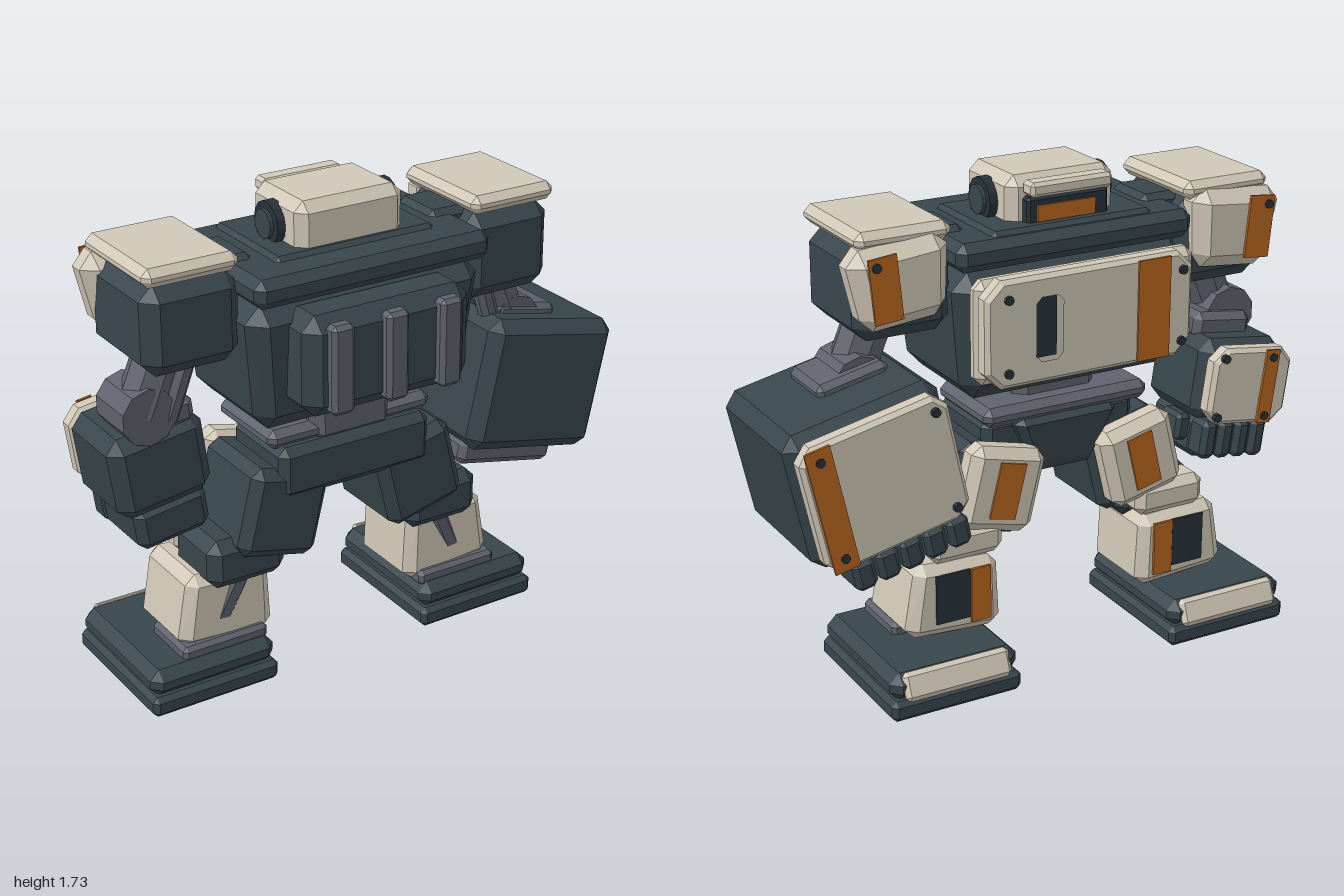
import * as THREE from 'three';
import { ConvexGeometry } from 'three/addons/geometries/ConvexGeometry.js';

const mat = (name, color) => Object.assign(new THREE.MeshStandardMaterial({ color, flatShading: true }), { name });
const CX = -0.122; // body centre line; the oversized left arm widens the +x side

export function createModel() {
  const dark = mat('dark slate armour', 0x38464c);
  const cream = mat('cream armour', 0xd0c7b6);
  const grey = mat('joint grey', 0x5f626d);
  const orange = mat('orange marking', 0xb9661f);
  const black = mat('dark fittings', 0x27323a);
  const root = new THREE.Group();
  root.name = 'walkerRobot';

  const group = (name, x = 0, y = 0, z = 0, rz = 0, parent = root) => {
    const g = new THREE.Group();
    g.name = name;
    g.position.set(x, y, z);
    g.rotation.z = rz;
    parent.add(g);
    return g;
  };
  const add = (parent, name, geo, material, x, y, z) => {
    const m = new THREE.Mesh(geo, material);
    m.name = name;
    m.position.set(x, y, z);
    parent.add(m);
    return m;
  };
  // box with every edge chamfered by c; bottom scaled by tx, tz
  const block = (parent, name, material, [w, h, d], [x, y, z], c = 0.03, tx = 1, tz = 1) => {
    const pts = [];
    for (const i of [-1, 1]) for (const j of [-1, 1]) for (const k of [-1, 1]) {
      for (const [a, b, e] of [[0, c, c], [c, 0, c], [c, c, 0]]) {
        const sx = j < 0 ? tx : 1, sz = j < 0 ? tz : 1;
        pts.push(new THREE.Vector3(i * (w / 2 - a) * sx, j * (h / 2 - b), k * (d / 2 - e) * sz));
      }
    }
    return add(parent, name, new ConvexGeometry(pts), material, x, y, z);
  };
  // thin painted panel facing -z
  const panel = (parent, name, material, w, h, x, y, z) =>
    add(parent, name, new THREE.BoxGeometry(w, h, 0.009), material, x, y, z);
  const bolt = (parent, x, y, z) => {
    const g = new THREE.CylinderGeometry(0.016, 0.016, 0.018, 8).rotateX(Math.PI / 2);
    add(parent, 'bolt', g, black, x, y, z);
  };
  // cylinder between two points
  const rod = (parent, name, material, a, b, r, sides = 10) => {
    const p = new THREE.Vector3(...a), q = new THREE.Vector3(...b), v = q.clone().sub(p);
    const m = add(parent, name, new THREE.CylinderGeometry(r, r, v.length(), sides), material, 0, 0, 0);
    m.position.copy(p.add(q).multiplyScalar(0.5));
    m.quaternion.setFromUnitVectors(new THREE.Vector3(0, 1, 0), v.normalize());
  };
  const octagon = (Type, w, h, c) => {
    const s = new Type(), p = [[-1, 1, 0, c], [-1, 1, c, 0], [1, 1, c, 0], [1, 1, 0, c],
      [1, -1, 0, c], [1, -1, c, 0], [-1, -1, c, 0], [-1, -1, 0, c]];
    s.setFromPoints(p.map(([i, j, a, b]) => new THREE.Vector2(i * (w / 2 - a), j * (h / 2 - b))));
    s.closePath();
    return s;
  };
  // armour plate with cut corners, front face at z
  const plate = (parent, name, material, w, h, t, [x, y, z], c, hole) => {
    const b = 0.015, s = octagon(THREE.Shape, w - 2 * b, h - 2 * b, c);
    if (hole) s.holes.push(hole);
    const g = new THREE.ExtrudeGeometry(s, { depth: t - 2 * b, bevelEnabled: true, bevelThickness: b, bevelSize: b, bevelSegments: 1 });
    return add(parent, name, g, material, x, y, z + b);
  };

  // torso
  const torso = group('torso', CX);
  block(torso, 'torsoCore', dark, [0.9, 0.45, 0.54], [0, 1.225, 0.01], 0.06, 0.92, 0.9);
  block(torso, 'collar', dark, [0.9, 0.1, 0.58], [0, 1.51, 0.025], 0.03);
  block(torso, 'neckDeck', dark, [0.62, 0.06, 0.42], [0, 1.545, -0.02], 0.02);
  block(torso, 'backPack', dark, [0.64, 0.35, 0.2], [0, 1.255, 0.3], 0.05);
  for (const i of [-1, 0, 1]) block(torso, 'backVent', grey, [0.086, 0.31, 0.06], [i * 0.208, 1.255, 0.405], 0.015);
  block(torso, 'chestBase', cream, [0.84, 0.36, 0.08], [0, 1.27, -0.285], 0.03);
  const hole = octagon(THREE.Path, 0.1, 0.22, 0.02);
  hole.curves.forEach((l) => [l.v1, l.v2].forEach((v) => { if (!v.seen) { v.x += 0.16; v.seen = true; } }));
  plate(torso, 'chestPlate', cream, 0.79, 0.37, 0.07, [0.025, 1.28, -0.385], 0.05, hole);
  panel(torso, 'chestWindow', black, 0.11, 0.23, 0.185, 1.28, -0.33);
  panel(torso, 'chestStripe', orange, 0.125, 0.35, -0.213, 1.28, -0.387);
  for (const [x, y] of [[0.34, 1.4], [0.34, 1.15], [-0.325, 1.4], [-0.325, 1.15]]) bolt(torso, x, y, -0.388);

  // head
  const head = group('head', CX);
  block(head, 'skull', cream, [0.41, 0.2, 0.31], [0, 1.625, 0.005], 0.035);
  block(head, 'brow', cream, [0.31, 0.05, 0.07], [0, 1.69, -0.178], 0.012);
  block(head, 'visorHousing', black, [0.31, 0.1, 0.05], [0, 1.61, -0.16], 0.01);
  panel(head, 'visor', orange, 0.22, 0.055, 0.01, 1.605, -0.188);
  for (const s of [-1, 1]) {
    rod(head, 'earDisc', black, [s * 0.19, 1.625, 0], [s * 0.235, 1.625, 0], 0.075, 14);
    rod(head, 'earHub', dark, [s * 0.23, 1.625, 0], [s * 0.248, 1.625, 0], 0.05, 14);
  }

  // waist and pelvis
  const hips = group('hips', CX);
  block(hips, 'waistColumn', grey, [0.32, 0.2, 0.3], [0, 0.96, 0.02], 0.04);
  block(hips, 'waistTray', grey, [0.645, 0.07, 0.36], [0, 0.915, -0.025], 0.025);
  block(hips, 'pelvis', dark, [0.6, 0.19, 0.34], [0, 0.795, 0.02], 0.03);
  block(hips, 'pelvisFront', dark, [0.4, 0.22, 0.16], [0, 0.79, -0.13], 0.03, 0.6, 0.7);

  for (const s of [-1, 1]) {
    // leg
    const leg = group(s > 0 ? 'leftLeg' : 'rightLeg', CX);
    const thigh = group('thigh', s * 0.275, 0.645, 0, s * 0.24, leg);
    block(thigh, 'thighCore', dark, [0.31, 0.32, 0.36], [0, 0, 0], 0.035);
    block(thigh, 'thighPlate', cream, [0.29, 0.3, 0.12], [s * 0.01, 0.025, -0.2], 0.035);
    panel(thigh, 'thighStripe', orange, 0.1, 0.2, s * 0.005, 0.03, -0.263);
    block(leg, 'knee', dark, [0.3, 0.18, 0.28], [s * 0.4, 0.49, 0], 0.04);
    block(leg, 'kneePad', cream, [0.28, 0.12, 0.14], [s * 0.41, 0.5, -0.17], 0.03);
    block(leg, 'shin', cream, [0.32, 0.27, 0.325], [s * 0.455, 0.305, -0.077], 0.035, 1.14, 1).rotation.z = s * 0.06;
    panel(leg, 'shinPanel', black, 0.13, 0.18, s * 0.475, 0.32, -0.243);
    panel(leg, 'shinStripe', orange, 0.075, 0.2, s * 0.37, 0.31, -0.246);
    rod(leg, 'calfPiston', grey, [s * 0.37, 0.5, 0.06], [s * 0.5, 0.22, 0.035], 0.05, 8);
    block(leg, 'ankle', grey, [0.33, 0.06, 0.24], [s * 0.485, 0.175, -0.01], 0.015);
    block(leg, 'sole', dark, [0.49, 0.075, 0.575], [s * 0.548, 0.0375, -0.132], 0.018);
    block(leg, 'footUpper', dark, [0.48, 0.1, 0.56], [s * 0.548, 0.115, -0.132], 0.035);
    block(leg, 'toePlate', cream, [0.4, 0.1, 0.035], [s * 0.548, 0.12, -0.405], 0.015).rotation.x = 0.4;

    // shoulder and upper arm
    const sh = group(s > 0 ? 'leftShoulder' : 'rightShoulder', CX);
    block(sh, 'shoulderMount', dark, [0.2, 0.1, 0.22], [s * 0.44, 1.53, 0], 0.025);
    block(sh, 'shoulderCore', dark, [0.35, 0.31, 0.41], [s * 0.61, 1.415, 0], 0.05);
    block(sh, 'shoulderCap', cream, [0.34, 0.065, 0.43], [s * 0.618, 1.605, -0.005], 0.025);
    const guard = group('shoulderGuard', s * 0.64, 1.46, -0.19, -s * 0.1, sh);
    block(guard, 'guardPlate', cream, [0.36, 0.28, 0.15], [0, 0, 0], 0.05, 0.86, 1);
    panel(guard, 'guardStripe', orange, 0.1, 0.22, s * 0.075, 0.01, -0.08);
    bolt(guard, s * 0.1, 0.09, -0.085);
    rod(sh, 'upperArm', grey, [s * 0.63, 1.32, 0.01], [s * 0.73, 1.08, 0.01], 0.085, 8);
    rod(sh, 'armPiston', grey, [s * 0.57, 1.3, 0.075], [s * 0.65, 1.06, 0.06], 0.035, 8);
    rod(sh, 'elbow', grey, [s * 0.73, 1.09, -0.1], [s * 0.73, 1.09, 0.09], 0.1, 10);
  }

  // forearm with fist, shared by both sides
  const forearm = (name, pos, rz, [w, h, d], s, f) => {
    const arm = group(name, ...pos, rz);
    block(arm, 'forearmShell', dark, [w, h, d], [0, 0, 0], 0.045);
    plate(arm, 'forearmPlate', cream, w * 0.95, h * 0.93, 0.07, [0, 0, -d / 2 - 0.06], 0.04);
    const zf = -d / 2 - 0.065;
    panel(arm, 'forearmStripe', orange, w * 0.16, h * 0.9, s * w * f, 0, zf);
    for (const [i, j] of [[s * f * w, 0.36], [s * f * w, -0.36], [-s * 0.38 * w, 0.36], [-s * 0.38 * w, -0.36]]) bolt(arm, i, j * h, zf - 0.002);
    return arm;
  };
  const fingers = (arm, n, w, x, y, z, size) => {
    for (let i = 0; i < n; i++) block(arm, 'finger', dark, size, [x + ((i + 0.5) / n - 0.5) * w, y, z], 0.018);
  };

  // big left forearm
  const big = forearm('leftForearm', [0.667, 0.862, -0.073], -0.215, [0.56, 0.49, 0.545], 1, 0.36);
  block(big, 'palm', grey, [0.42, 0.1, 0.34], [-0.05, -0.27, 0.03], 0.025);
  block(big, 'fistBack', dark, [0.4, 0.08, 0.4], [-0.05, -0.26, 0], 0.02);
  fingers(big, 5, 0.44, -0.04, -0.29, -0.235, [0.08, 0.11, 0.15]);
  fingers(big, 4, 0.36, -0.02, -0.325, -0.05, [0.075, 0.06, 0.22]);
  block(big, 'elbowCuff', grey, [0.26, 0.06, 0.24], [-0.07, 0.25, 0.05], 0.02);

  // small right forearm
  const small = forearm('rightForearm', [-0.805, 0.89, -0.08], 0.14, [0.35, 0.3, 0.34], -1, 0.2);
  block(small, 'elbowCuff', grey, [0.24, 0.1, 0.22], [0.03, 0.17, 0.05], 0.025);
  block(small, 'fist', dark, [0.27, 0.16, 0.28], [0.015, -0.215, 0], 0.03);
  fingers(small, 4, 0.28, 0.01, -0.21, -0.15, [0.065, 0.14, 0.1]);
  block(small, 'thumb', dark, [0.06, 0.1, 0.12], [0.165, -0.19, -0.04], 0.015);
  return root;
}
